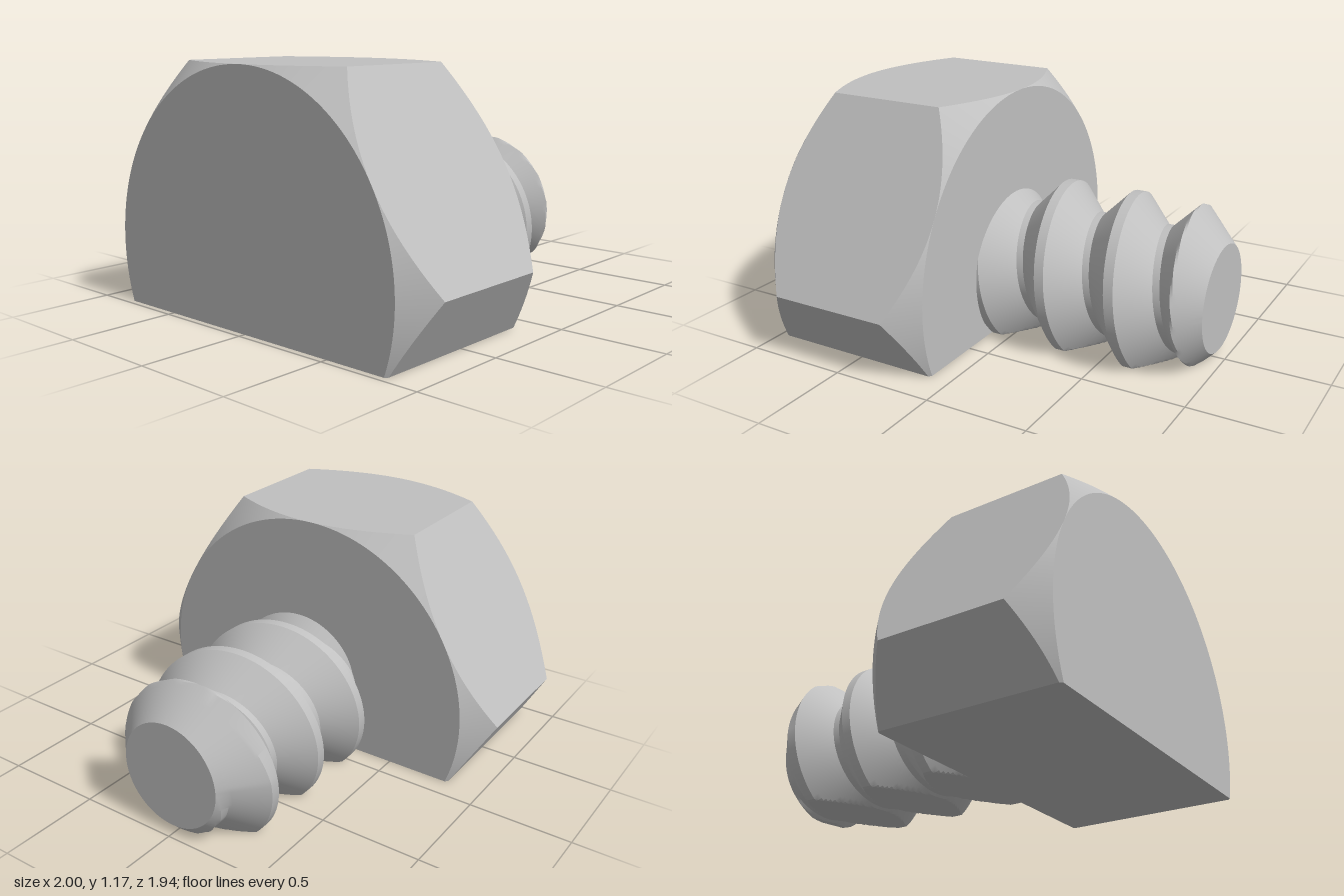
import * as THREE from 'three';
import { toCreasedNormals } from 'three/addons/utils/BufferGeometryUtils.js';

const AXIS_Y = 0.305;              // height of the bolt axis above the flat cut
const FRONT = 0.97, SEAT = 0.104, TIP = -0.97;

// Skin a list of rings (ordered from +z to -z, each counter-clockwise)
function loft(rings) {
  const pos = [];
  const tri = (a, b, c) => {
    const n = b.clone().sub(a).cross(c.clone().sub(a));
    if (n.length() > 1e-9) for (const p of [a, b, c]) pos.push(p.x, p.y, p.z);
  };
  for (let k = 0; k + 1 < rings.length; k++) {
    const A = rings[k], B = rings[k + 1];
    for (let i = 0; i + 1 < A.length; i++) {
      tri(A[i], B[i], B[i + 1]);
      tri(A[i], B[i + 1], A[i + 1]);
    }
  }
  const g = new THREE.BufferGeometry();
  g.setAttribute('position', new THREE.Float32BufferAttribute(pos, 3));
  return toCreasedNormals(g, 0.4);
}

// Hexagonal head, both faces chamfered by a 45 degree cone, cut flat below
function headGeometry() {
  const apothem = Math.sqrt(3) / 2;
  const cutX = 1 - AXIS_Y / Math.sqrt(3);
  const flatX = Math.sqrt(apothem ** 2 - AXIS_Y ** 2);
  const corners = [
    [1, 0], [0.5, apothem], [-0.5, apothem], [-1, 0],
    [-cutX, -AXIS_Y], [-flatX, -AXIS_Y], [flatX, -AXIS_Y], [cutX, -AXIS_Y],
  ];
  const outline = [];
  corners.forEach(([x, y], i) => {
    const [x2, y2] = corners[(i + 1) % corners.length];
    for (let s = 0; s < 32; s++) {
      outline.push(new THREE.Vector2(x + (x2 - x) * s / 32, y + (y2 - y) * s / 32));
    }
  });
  outline.push(outline[0].clone());

  const ring = (fn) => outline.map((p) => {
    const r = p.length();
    const depth = Math.max(0, r - apothem);
    const [scale, z] = fn(Math.min(1, apothem / r), depth);
    return new THREE.Vector3(p.x * scale, p.y * scale, z);
  });
  return loft([
    ring(() => [0, FRONT]),
    ring((s) => [s, FRONT]),
    ring((s, d) => [1, FRONT - d]),
    ring((s, d) => [1, SEAT + d]),
    ring((s) => [s, SEAT]),
    ring(() => [0, SEAT]),
  ]);
}

// Helical thread with 45 degree flanks, a bevelled tip and the same flat cut
function threadGeometry() {
  const pitch = 0.353, major = 0.43, minor = 0.295;
  const crest = 0.024, root = crest + major - minor;
  const tipRadius = 0.26, turnSteps = 180, flankSteps = 12;

  const radius = (z, t, u) => {
    let r = THREE.MathUtils.clamp(major - (Math.abs(u) - crest), minor, major);
    r = Math.min(r, tipRadius + z - TIP);
    const s = -Math.sin(t);
    return s > 0 ? Math.min(r, AXIS_Y / s) : r;
  };

  // Offsets across one thread: up one flank, over the crest, down the other
  const offsets = [];
  for (let i = 0; i <= flankSteps; i++) offsets.push(-root + (root - crest) * i / flankSteps);
  for (let i = 0; i <= flankSteps; i++) offsets.push(crest + (root - crest) * i / flankSteps);

  const rings = [];
  for (let k = 1; k >= -3; k--) {
    for (const offset of offsets) {
      const ring = [];
      for (let i = 0; i <= turnSteps; i++) {
        const t = i / turnSteps * Math.PI * 2;
        const centre = -0.242 + pitch * i / turnSteps;
        const z = THREE.MathUtils.clamp(centre + k * pitch - offset, TIP, SEAT + 0.02);
        let u = z - centre;
        u -= pitch * Math.round(u / pitch);
        const r = radius(z, t, u);
        ring.push(new THREE.Vector3(r * Math.cos(t), r * Math.sin(t), z));
      }
      rings.push(ring);
    }
  }
  // Flat end of the shank
  rings.push(rings[0].map(() => new THREE.Vector3(0, 0, TIP)));
  return loft(rings);
}

export function createModel() {
  const steel = new THREE.MeshStandardMaterial({ color: 0xc0c0c0 });
  steel.name = 'steel grey';

  const bolt = new THREE.Group();
  bolt.name = 'halfCutBolt';
  const parts = { hexHead: headGeometry(), threadedShank: threadGeometry() };
  for (const [name, geometry] of Object.entries(parts)) {
    const mesh = new THREE.Mesh(geometry, steel);
    mesh.name = name;
    mesh.position.y = AXIS_Y;
    bolt.add(mesh);
  }
  return bolt;
}
